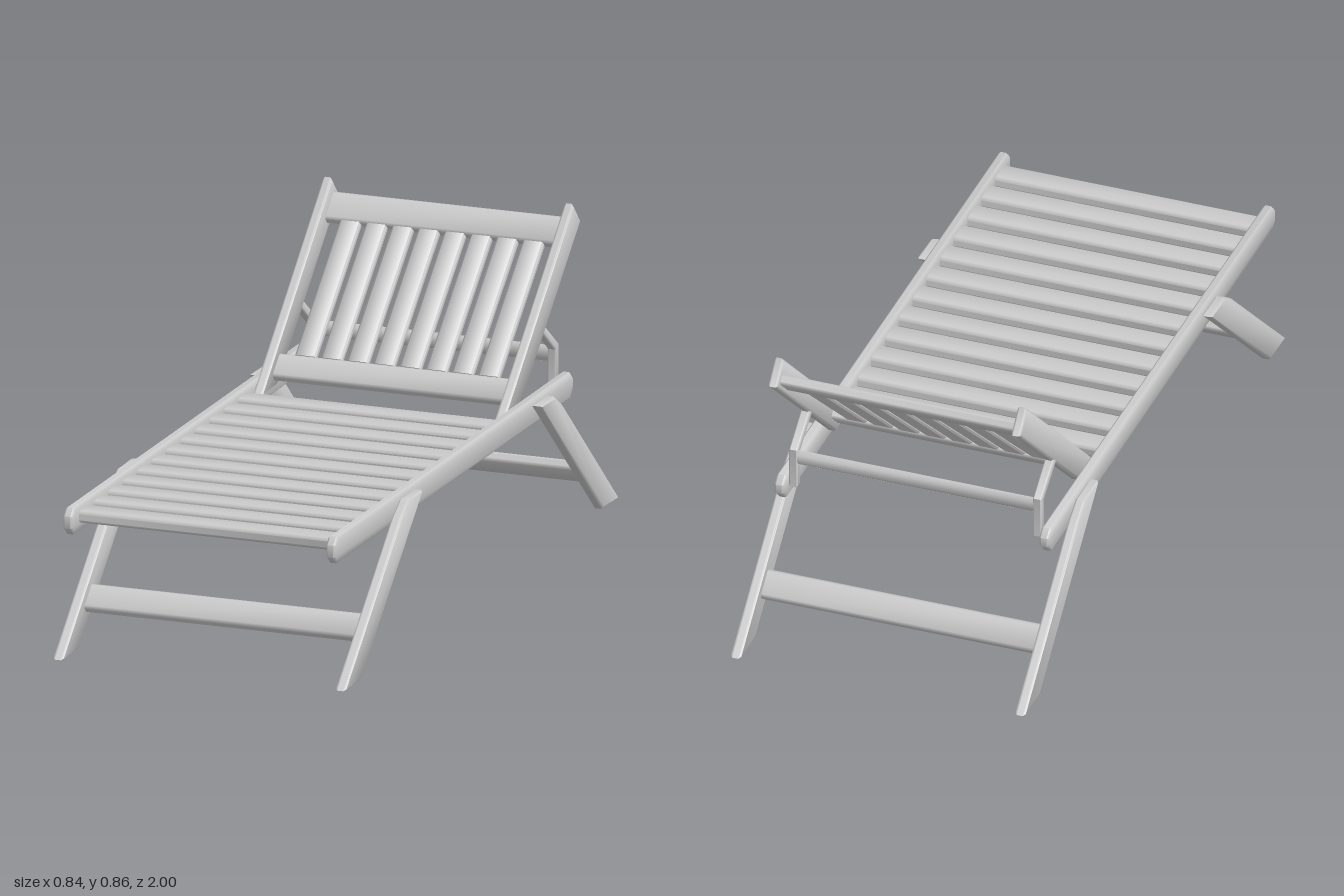
import * as THREE from 'three';
import { toCreasedNormals } from 'three/addons/utils/BufferGeometryUtils.js';

const material = new THREE.MeshStandardMaterial({ color: 0xcccccc });
const TILT = 0.73; // slope shared by backrest and legs

// Side outline given as [z, y] points, extruded across x with chamfered edges
function plank(outline, width, chamfer) {
  const shape = new THREE.Shape(outline.map(([z, y]) => new THREE.Vector2(z, y)));
  const geo = new THREE.ExtrudeGeometry(shape, {
    depth: width - 2 * chamfer, bevelEnabled: true, bevelSegments: 1,
    bevelSize: chamfer, bevelThickness: chamfer, bevelOffset: -chamfer,
  });
  geo.translate(0, 0, -(width - 2 * chamfer) / 2).rotateY(-Math.PI / 2);
  return toCreasedNormals(geo, 0.9);
}

// Straight bar along z with a chamfered rectangular section
function bar(width, thick, length) {
  const w = width / 2, t = thick / 2, c = thick * 0.25;
  const shape = new THREE.Shape([
    [w, c - t], [w, t - c], [w - c, t], [c - w, t],
    [-w, t - c], [-w, c - t], [c - w, -t], [w - c, -t],
  ].map(([x, y]) => new THREE.Vector2(x, y)));
  const geo = new THREE.ExtrudeGeometry(shape, { depth: length, bevelEnabled: false });
  geo.translate(0, 0, -length / 2);
  return toCreasedNormals(geo, 0.9);
}

// The same bar laid across x, tilted about its length
const crossBar = (width, thick, length, tilt = 0) =>
  bar(width, thick, length).rotateY(Math.PI / 2).rotateX(tilt);

export function createModel() {
  const model = new THREE.Group();
  model.name = 'sunLounger';

  const add = (name, geo, x, y, z, parent = model) => {
    const mesh = new THREE.Mesh(geo, material);
    mesh.name = name;
    mesh.position.set(x, y, z);
    parent.add(mesh);
  };
  const pair = (name, geo, x, parent = model) => {
    add(name + 'Left', geo, x, 0, 0, parent);
    add(name + 'Right', geo, -x, 0, 0, parent);
  };
  const group = (name) => {
    const g = new THREE.Group();
    g.name = name;
    model.add(g);
    return g;
  };

  // Long side rails with clipped ends
  pair('sideRail', plank([
    [1, 0.368], [1, 0.402], [0.98, 0.422], [-0.72, 0.422],
    [-0.742, 0.402], [-0.742, 0.375], [-0.715, 0.348], [0.98, 0.348],
  ], 0.028, 0.006), 0.378);

  // Seat slats
  const seat = group('seatSlats');
  const seatSlat = crossBar(0.075, 0.033, 0.732);
  for (let i = 0; i < 12; i++) add('seatSlat', seatSlat, 0, 0.389, 0.915 - i * 0.1055, seat);

  // Splayed legs and their stretchers, front and back
  for (const [name, s] of [['front', 1], ['back', -1]]) {
    const legs = group(name + 'Legs');
    pair(name + 'Leg', plank([
      [s, 0], [s * 0.59, 0.372], [s * 0.535, 0.407], [s * 0.43, 0.407], [s * 0.882, 0],
    ], 0.029, 0.006), 0.406, legs);
    add(name + 'Stretcher', crossBar(0.08, 0.03, 0.79, s * TILT), 0, 0.122, s * 0.805, legs);
  }

  // Reclining backrest: side rails, two cross bars, upright slats
  const back = group('backrest');
  pair('backrestRail', plank([
    [-0.308, 0.39], [-0.82, 0.86], [-0.875, 0.80], [-0.422, 0.39],
  ], 0.027, 0.006), 0.347, back);
  add('backrestTopBar', crossBar(0.09, 0.03, 0.672, TILT), 0, 0.78, -0.81, back);
  add('backrestBottomBar', crossBar(0.076, 0.03, 0.672, TILT), 0, 0.44, -0.421, back);
  const backSlat = bar(0.06, 0.02, 0.44).rotateX(0.717);
  for (let i = 0; i < 8; i++) add('backrestSlat', backSlat, (i - 3.5) * 0.0752, 0.61, -0.615, back);

  // Folding prop: two bent arms joined by a bar
  const prop = group('backrestProp');
  pair('propArm', plank([
    [-0.688, 0.385], [-0.688, 0.49], [-0.59, 0.562], [-0.606, 0.582],
    [-0.713, 0.502], [-0.713, 0.385],
  ], 0.025, 0.004), 0.348, prop);
  add('propBar', crossBar(0.022, 0.045, 0.68), 0, 0.475, -0.7, prop);

  return model;
}
